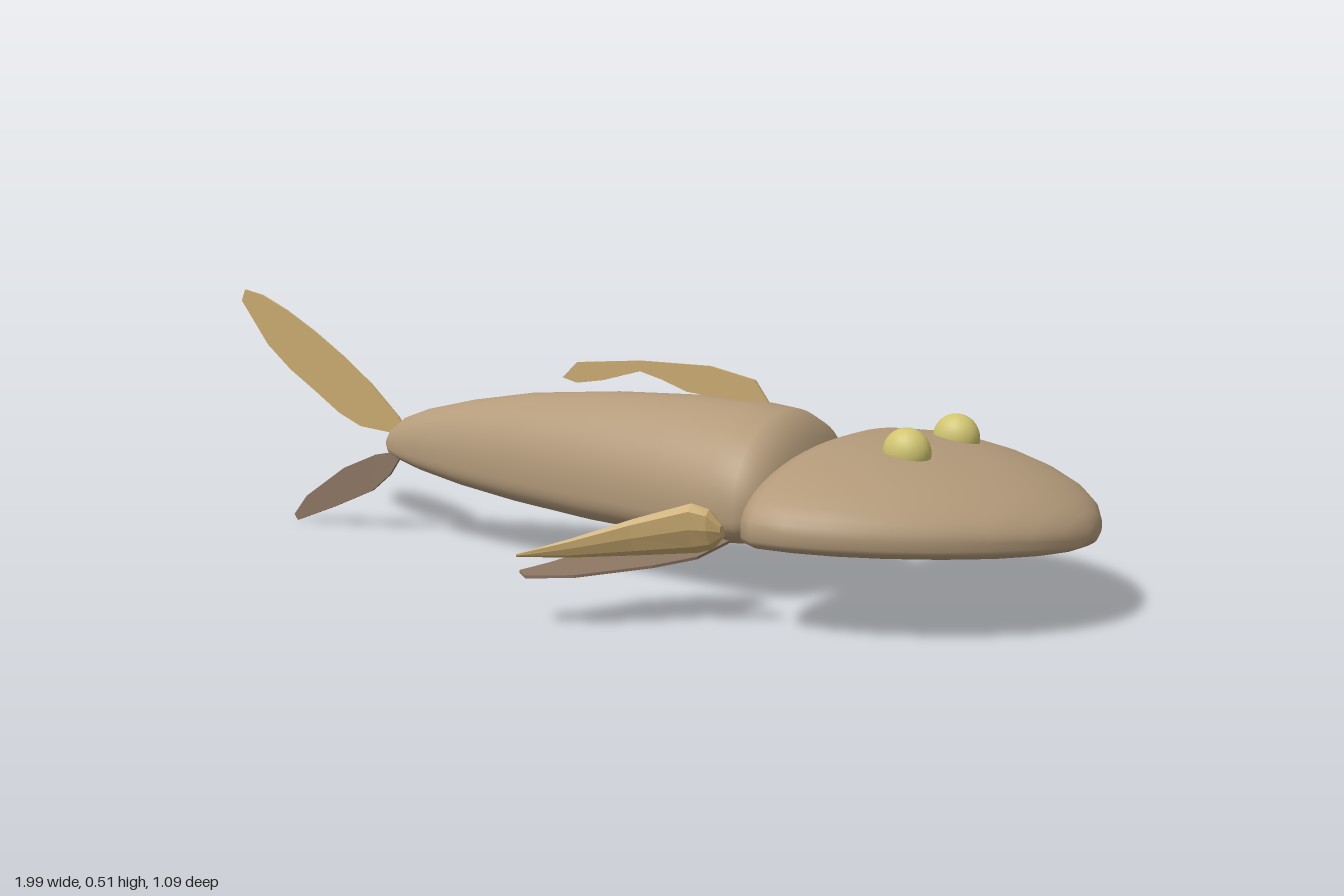
import * as THREE from 'three';

const mat = (name, color, opts = {}) => {
  const m = new THREE.MeshStandardMaterial({ color, ...opts });
  m.name = name;
  return m;
};

// Skin a list of equal-length rings and close both ends.
function loft(rings, flip = false) {
  const n = rings[0].length, pos = [], idx = [];
  rings.forEach(r => r.forEach(p => pos.push(...p)));
  const tri = (a, b, c) => (flip ? idx.push(a, c, b) : idx.push(a, b, c));
  for (let i = 0; i < rings.length - 1; i++)
    for (let j = 0; j < n; j++) {
      const a = i * n + j, b = i * n + (j + 1) % n;
      tri(a, a + n, b);
      tri(b, a + n, b + n);
    }
  [0, rings.length - 1].forEach(i => {
    const c = [0, 1, 2].map(k => rings[i].reduce((s, p) => s + p[k], 0) / n);
    const ci = pos.length / 3;
    pos.push(...c);
    for (let j = 0; j < n; j++) {
      const a = i * n + j, b = i * n + (j + 1) % n;
      if (i === 0) tri(ci, a, b); else tri(ci, b, a);
    }
  });
  const g = new THREE.BufferGeometry();
  g.setAttribute('position', new THREE.Float32BufferAttribute(pos, 3));
  g.setIndex(idx);
  g.computeVertexNormals();
  return g;
}

// Section with an elliptical top and a squarer, flatter belly.
function section([x, w, top, mid, bottom], power) {
  const ring = [];
  for (let j = 0; j < 48; j++) {
    const a = (j / 48) * Math.PI * 2, c = Math.cos(a), s = Math.sin(a);
    const e = s >= 0 ? 1 : 2 / power;
    const z = Math.sign(c) * Math.abs(c) ** e * w;
    const y = s >= 0 ? mid + s * (top - mid) : mid - Math.abs(s) ** e * (mid - bottom);
    ring.push([x, y, z]);
  }
  return ring;
}

// Thin flat fin from an outline.
function plate(points, depth = 0.006) {
  const shape = new THREE.Shape(points.map(p => new THREE.Vector2(...p)));
  const g = new THREE.ExtrudeGeometry(shape, { depth, bevelEnabled: false });
  return g.translate(0, 0, -depth / 2);
}

export function createModel() {
  const group = new THREE.Group();
  const skin = mat('skin tan', 0xb39a7a);
  const gold = mat('fin gold', 0xc9aa70);
  const goldFacet = mat('fin gold faceted', 0xc9aa70, {});
  goldFacet.flatShading = true;
  const brown = mat('fin brown', 0x8b7562);
  const eyeMat = mat('eye yellow', 0xd0c470);
  const add = (name, geo, m) => {
    const mesh = new THREE.Mesh(geo, m);
    mesh.name = name;
    group.add(mesh);
    return mesh;
  };

  // Tapered body: x, half width, top, widest height, bottom
  add('body', loft([
    [-0.585, 0.008, 0.212, 0.2, 0.19],
    [-0.565, 0.03, 0.235, 0.2, 0.18],
    [-0.53, 0.046, 0.26, 0.2, 0.168],
    [-0.47, 0.06, 0.282, 0.2, 0.152],
    [-0.35, 0.082, 0.31, 0.195, 0.131],
    [-0.2, 0.108, 0.335, 0.19, 0.113],
    [0, 0.145, 0.351, 0.185, 0.098],
    [0.2, 0.181, 0.357, 0.18, 0.092],
    [0.33, 0.205, 0.352, 0.178, 0.093],
    [0.39, 0.211, 0.344, 0.178, 0.099],
    [0.42, 0.2, 0.328, 0.18, 0.11],
    [0.445, 0.172, 0.295, 0.18, 0.13],
    [0.462, 0.115, 0.25, 0.185, 0.152],
    [0.472, 0.06, 0.22, 0.19, 0.17],
  ].map(s => section(s, 3.2))), skin);

  // Broad half-disc head with a flat underside
  add('head', loft([
    [0.465, 0.2, 0.22, 0.19, 0.162],
    [0.472, 0.28, 0.245, 0.19, 0.152],
    [0.485, 0.335, 0.28, 0.19, 0.145],
    [0.505, 0.385, 0.3, 0.19, 0.141],
    [0.535, 0.409, 0.31, 0.19, 0.14],
    [0.6, 0.41, 0.311, 0.19, 0.14],
    [0.67, 0.395, 0.306, 0.189, 0.14],
    [0.75, 0.36, 0.293, 0.187, 0.14],
    [0.83, 0.308, 0.272, 0.184, 0.14],
    [0.9, 0.24, 0.247, 0.18, 0.14],
    [0.95, 0.168, 0.222, 0.174, 0.141],
    [0.98, 0.1, 0.2, 0.168, 0.143],
    [0.994, 0.04, 0.178, 0.16, 0.147],
  ].map(s => section(s, 4))), skin);

  // Upper and lower tail blades
  add('upperTailFin', plate([
    [-0.55, 0.22], [-0.54, 0.238], [-0.555, 0.258], [-0.63, 0.325], [-0.71, 0.382],
    [-0.79, 0.432], [-0.87, 0.475], [-0.94, 0.505], [-0.99, 0.515], [-1, 0.49],
    [-0.925, 0.395], [-0.86, 0.343], [-0.79, 0.3], [-0.72, 0.255], [-0.66, 0.23],
  ]), gold);
  add('lowerTailFin', plate([
    [-0.55, 0.172], [-0.58, 0.178], [-0.62, 0.17], [-0.71, 0.133], [-0.82, 0.06],
    [-0.857, 0.015], [-0.848, 0.002], [-0.74, 0.043], [-0.63, 0.09], [-0.58, 0.13],
  ]), brown);

  // Low notched fin along the back
  add('dorsalFin', plate([
    [-0.125, 0.372], [-0.09, 0.363], [-0.03, 0.372], [0.06, 0.396], [0.11, 0.383],
    [0.17, 0.362], [0.26, 0.354], [0.35, 0.354], [0.32, 0.395], [0.22, 0.416],
    [0.06, 0.417], [-0.09, 0.405],
  ]), gold);

  for (const [side, s] of [['left', 1], ['right', -1]]) {
    // Domed eye
    const eye = add(side + 'Eye', new THREE.SphereGeometry(1, 24, 16), eyeMat);
    eye.scale.set(0.045, 0.045, 0.037);
    eye.position.set(0.69, 0.3, s * 0.11);

    // Thick pointed side fin: x, y, z, half height, half thickness
    const rings = [
      [0.13, 0.122, 0.524, 0.003, 0.003],
      [0.22, 0.138, 0.48, 0.018, 0.008],
      [0.32, 0.16, 0.432, 0.034, 0.015],
      [0.42, 0.181, 0.396, 0.046, 0.022],
      [0.45, 0.181, 0.389, 0.037, 0.02],
      [0.47, 0.178, 0.386, 0.012, 0.008],
    ].map(([x, y, z, h, t]) => Array.from({ length: 8 }, (_, j) => {
      const a = (j / 8) * Math.PI * 2, dy = Math.sin(a) * h;
      return [x, y + dy, s * (z + Math.cos(a) * t + dy * 0.25)];
    }));
    add(side + 'PectoralFin', loft(rings, s < 0), goldFacet);

    // Flat lower fin, drooping outwards
    const g = plate([
      [0.35, 0.23], [0.41, 0.257], [0.4, 0.353], [0.35, 0.42], [0.245, 0.513],
      [0.163, 0.546], [0.135, 0.524], [0.163, 0.47], [0.206, 0.353], [0.27, 0.283],
    ].map(([x, z]) => [x, s * z]), 0.005).rotateX(Math.PI / 2);
    const p = g.attributes.position;
    for (let i = 0; i < p.count; i++)
      p.setY(i, p.getY(i) + 0.135 - (Math.abs(p.getZ(i)) - 0.23) * 0.14);
    g.computeVertexNormals();
    add(side + 'PelvicFin', g, brown);
  }
  return group;
}
